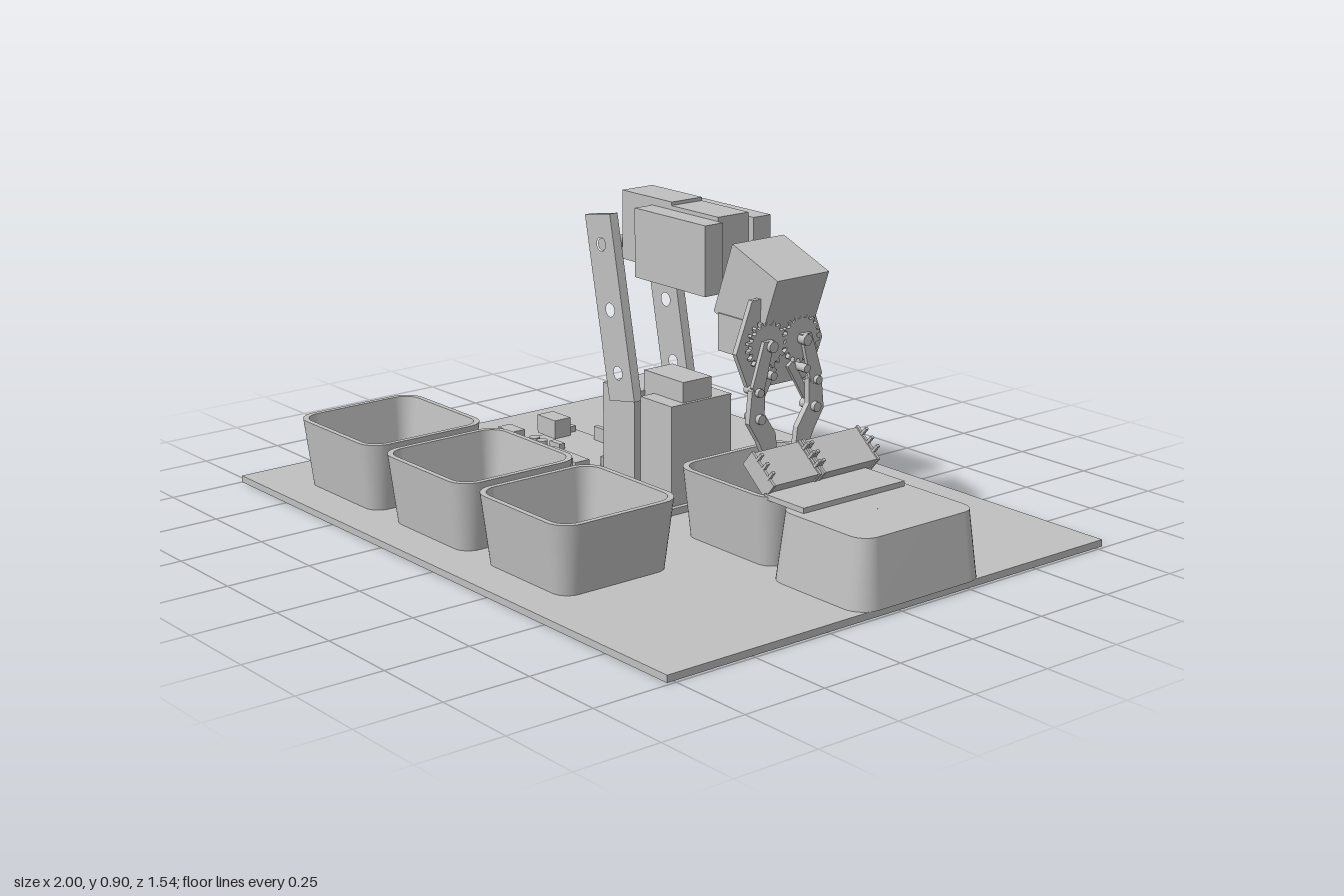
import * as THREE from 'three';

const grey = new THREE.MeshStandardMaterial({ color: 0xc0c0c0 });
grey.name = 'plain grey';

function add(parent, name, geo) {
  const m = new THREE.Mesh(geo, grey);
  m.name = name;
  parent.add(m);
  return m;
}

function group(parent, name) {
  const g = new THREE.Group();
  g.name = name;
  parent.add(g);
  return g;
}

// box given by its limits on each axis
function box(parent, name, x0, x1, y0, y1, z0, z1) {
  const m = add(parent, name, new THREE.BoxGeometry(x1 - x0, y1 - y0, z1 - z0));
  m.position.set((x0 + x1) / 2, (y0 + y1) / 2, (z0 + z1) / 2);
  return m;
}

function peg(parent, name, axis, r, len, x, y, z, sides = 16) {
  const g = new THREE.CylinderGeometry(r, r, len, sides);
  if (axis === 'x') g.rotateZ(Math.PI / 2);
  if (axis === 'z') g.rotateX(Math.PI / 2);
  const m = add(parent, name, g);
  m.position.set(x, y, z);
  return m;
}

function circleHole(x, y, r) {
  const p = new THREE.Path();
  p.absarc(x, y, r, 0, Math.PI * 2, true);
  return p;
}

// outline drawn in (z, y), extruded along x from x0
function plateX(parent, name, pts, x0, depth, holes = []) {
  const s = new THREE.Shape(pts.map(([z, y]) => new THREE.Vector2(-z, y)));
  s.holes = holes.map(([z, y, r]) => circleHole(-z, y, r));
  const g = new THREE.ExtrudeGeometry(s, { depth, bevelEnabled: false, curveSegments: 8 });
  g.rotateY(Math.PI / 2);
  const m = add(parent, name, g);
  m.position.x = x0;
  return m;
}

// rounded rectangle ring at height y
function ring(w, d, r, y) {
  const out = [];
  const n = 8;
  [[1, 1], [-1, 1], [-1, -1], [1, -1]].forEach(([sx, sz], c) => {
    for (let i = 0; i <= n; i++) {
      const a = (c + i / n) * Math.PI / 2;
      out.push([sx * (w / 2 - r) + Math.cos(a) * r, y, sz * (d / 2 - r) + Math.sin(a) * r]);
    }
  });
  return out;
}

// tapered tub: outside wall, rim, inside wall, floor and underside
function tub(parent, name, x, z, w, d, bw, bd, h, flipped = false) {
  const t = 0.032;
  const rings = [
    ring(0.001, 0.001, 0.0005, 0), ring(bw, bd, 0.05, 0), ring(w, d, 0.065, h),
    ring(w - t, d - t, 0.052, h), ring(bw - t, bd - t, 0.036, 0.015), ring(0.001, 0.001, 0.0005, 0.015),
  ];
  const pos = [];
  const idx = [];
  for (let b = 0; b < rings.length - 1; b++) {
    const n = rings[b].length;
    const o = pos.length / 3;
    pos.push(...rings[b].flat(), ...rings[b + 1].flat());
    for (let i = 0; i < n; i++) {
      const j = (i + 1) % n;
      idx.push(o + i, o + n + i, o + j, o + j, o + n + i, o + n + j);
    }
  }
  const g = new THREE.BufferGeometry();
  g.setAttribute('position', new THREE.Float32BufferAttribute(pos, 3));
  g.setIndex(idx);
  g.computeVertexNormals();
  const m = add(parent, name, g);
  m.position.set(x, flipped ? 0.02 + h : 0.02, z);
  if (flipped) m.rotation.x = Math.PI;
}

function gearPoints(cz, cy, r, teeth) {
  const pts = [];
  for (let i = 0; i < teeth; i++) {
    [[0, 0.83], [0.25, 0.83], [0.4, 1], [0.7, 1], [0.85, 0.83]].forEach(([f, k]) => {
      const a = (i + f) / teeth * Math.PI * 2;
      pts.push([cz + Math.cos(a) * r * k, cy + Math.sin(a) * r * k]);
    });
  }
  return pts;
}

export function createModel() {
  const model = new THREE.Group();
  model.name = 'sortingArmTable';
  box(model, 'baseBoard', -1, 0.99, 0, 0.02, -0.775, 0.77);

  // bins
  [-0.645, -0.2, 0.245].forEach((x) => tub(model, 'frontBin', x, 0.47, 0.405, 0.405, 0.36, 0.36, 0.2));
  tub(model, 'sideBin', 0.41, -0.09, 0.4, 0.4, 0.36, 0.36, 0.2);
  tub(model, 'upturnedBin', 0.815, -0.085, 0.365, 0.455, 0.325, 0.41, 0.19, true);

  // tower
  const tower = group(model, 'tower');
  box(tower, 'towerPlate', -0.27, 0.09, 0.02, 0.04, -0.25, 0.03);
  box(tower, 'rearServo', -0.25, -0.105, 0.04, 0.335, -0.205, -0.005);
  box(tower, 'frontServo', -0.065, 0.075, 0.04, 0.335, -0.215, 0.005);
  box(tower, 'middleServo', -0.11, 0.065, 0.04, 0.395, -0.15, -0.045);

  // lower arm plates
  const link = new THREE.Shape([[-0.32, 0.82], [-0.205, 0.84], [-0.095, 0.31], [-0.21, 0.29]]
    .map(([x, y]) => new THREE.Vector2(x, y)));
  link.holes = [[-0.245, 0.745], [-0.205, 0.56], [-0.17, 0.38]].map(([x, y]) => circleHole(x, y, 0.02));
  [-0.23, -0.025].forEach((z) => {
    const g = new THREE.ExtrudeGeometry(link, { depth: 0.028, bevelEnabled: false, curveSegments: 10 });
    add(tower, 'lowerArmPlate', g).position.z = z;
  });

  // upper arm
  const upper = group(model, 'upperArm');
  box(upper, 'elbowServo', -0.22, 0, 0.7, 0.9, -0.165, -0.055);
  box(upper, 'upperArmCore', 0, 0.2, 0.69, 0.89, -0.165, -0.055);
  box(upper, 'leftArmCheek', -0.085, 0.22, 0.68, 0.878, -0.055, 0.008);
  box(upper, 'rightArmCheek', -0.085, 0.22, 0.68, 0.878, -0.228, -0.165);
  box(upper, 'armUnderside', -0.085, 0.22, 0.68, 0.7, -0.165, -0.055);
  peg(upper, 'elbowAxle', 'z', 0.018, 0.22, -0.245, 0.745, -0.11);

  // wrist
  const wrist = group(model, 'wrist');
  const wristBox = box(wrist, 'wristServo', 0.262, 0.458, 0.598, 0.812, -0.2, -0.015);
  wristBox.rotation.z = -0.36;
  box(wrist, 'gripperServo', 0.255, 0.41, 0.535, 0.64, -0.16, -0.01);

  // gripper, mirrored about its own centre line
  const grip = group(model, 'gripper');
  const cz = -0.085;
  plateX(grip, 'gripperPlate', [[0.1, 0.71], [0.155, 0.57], [0.11, 0.465], [-0.11, 0.465], [-0.155, 0.57], [-0.1, 0.71]]
    .map(([w, y]) => [cz + w, y]), 0.408, 0.016, [[cz + 0.06, 0.505, 0.012], [cz - 0.06, 0.505, 0.012]]);
  [1, -1].forEach((s) => {
    const p = (list) => list.map(([w, y]) => [cz + s * w, y]);
    plateX(grip, 'gear', gearPoints(cz + s * 0.061, 0.585, 0.068, 18), 0.43, 0.014, [[cz + s * 0.061, 0.585, 0.012]]);
    plateX(grip, 'gearArm', p([[0.05, 0.6], [0.085, 0.6], [0.125, 0.48], [0.105, 0.45], [0.085, 0.46]]), 0.446, 0.012);
    plateX(grip, 'guideLink', p([[0.02, 0.51], [0.04, 0.525], [0.1, 0.42], [0.08, 0.41]]), 0.426, 0.01);
    plateX(grip, 'finger', p([[0.1, 0.49], [0.125, 0.47], [0.135, 0.38], [0.1, 0.325], [0.05, 0.22],
      [0.025, 0.22], [0.04, 0.34], [0.08, 0.4], [0.08, 0.47]]), 0.438, 0.018);
    [[0.061, 0.585, 0.016], [0.06, 0.505, 0.012], [0.105, 0.465, 0.012], [0.1, 0.39, 0.014]]
      .forEach(([w, y, r]) => peg(grip, 'pivotScrew', 'x', r, 0.06, 0.44, y, cz + s * w, 10));
  });

  // tilted sensor block on the bin edge
  const sensor = group(model, 'sensor');
  sensor.position.set(0.54, 0.27, 0);
  sensor.rotation.z = -0.7;
  [[-0.08, 0.085], [-0.295, -0.095]].forEach(([z0, z1]) => {
    box(sensor, 'sensorCell', -0.055, 0.055, -0.025, 0.022, z0, z1);
    [z0, z1].forEach((z) => {
      box(sensor, 'cellEndPlate', -0.058, 0.058, -0.03, 0.026, z - 0.004, z + 0.004);
      [-0.03, 0, 0.03].forEach((x) => box(sensor, 'pin', x - 0.004, x + 0.004, 0.02, 0.05, z - 0.005, z + 0.005));
    });
  });
  box(model, 'sensorShelf', 0.57, 0.725, 0.211, 0.226, -0.27, 0.095);

  // control board with its components
  const board = group(model, 'controlBoard');
  box(board, 'circuitBoard', -0.74, -0.36, 0.02, 0.032, -0.263, 0.03);
  box(board, 'dataSocket', -0.77, -0.68, 0.032, 0.09, -0.21, -0.15);
  box(board, 'powerSocket', -0.755, -0.68, 0.032, 0.085, -0.035, 0.012);
  box(board, 'rearHeaderLong', -0.48, -0.38, 0.032, 0.075, -0.256, -0.24);
  box(board, 'rearHeaderShort', -0.6, -0.49, 0.032, 0.075, -0.256, -0.24);
  box(board, 'frontHeaderLong', -0.545, -0.46, 0.032, 0.075, 0.008, 0.024);
  box(board, 'frontHeaderShort', -0.45, -0.38, 0.032, 0.075, 0.008, 0.024);
  box(board, 'chip', -0.56, -0.39, 0.032, 0.055, -0.06, -0.008);
  box(board, 'crystal', -0.63, -0.58, 0.032, 0.05, -0.112, -0.092);
  box(board, 'resetButton', -0.73, -0.705, 0.032, 0.05, -0.25, -0.225);
  [-0.645, -0.605].forEach((x) => peg(board, 'capacitor', 'y', 0.017, 0.035, x, 0.05, -0.045));
  [-0.17, -0.15, -0.1].forEach((z) => peg(board, 'boardPin', 'y', 0.007, 0.03, -0.375, 0.045, z, 8));
  return model;
}
